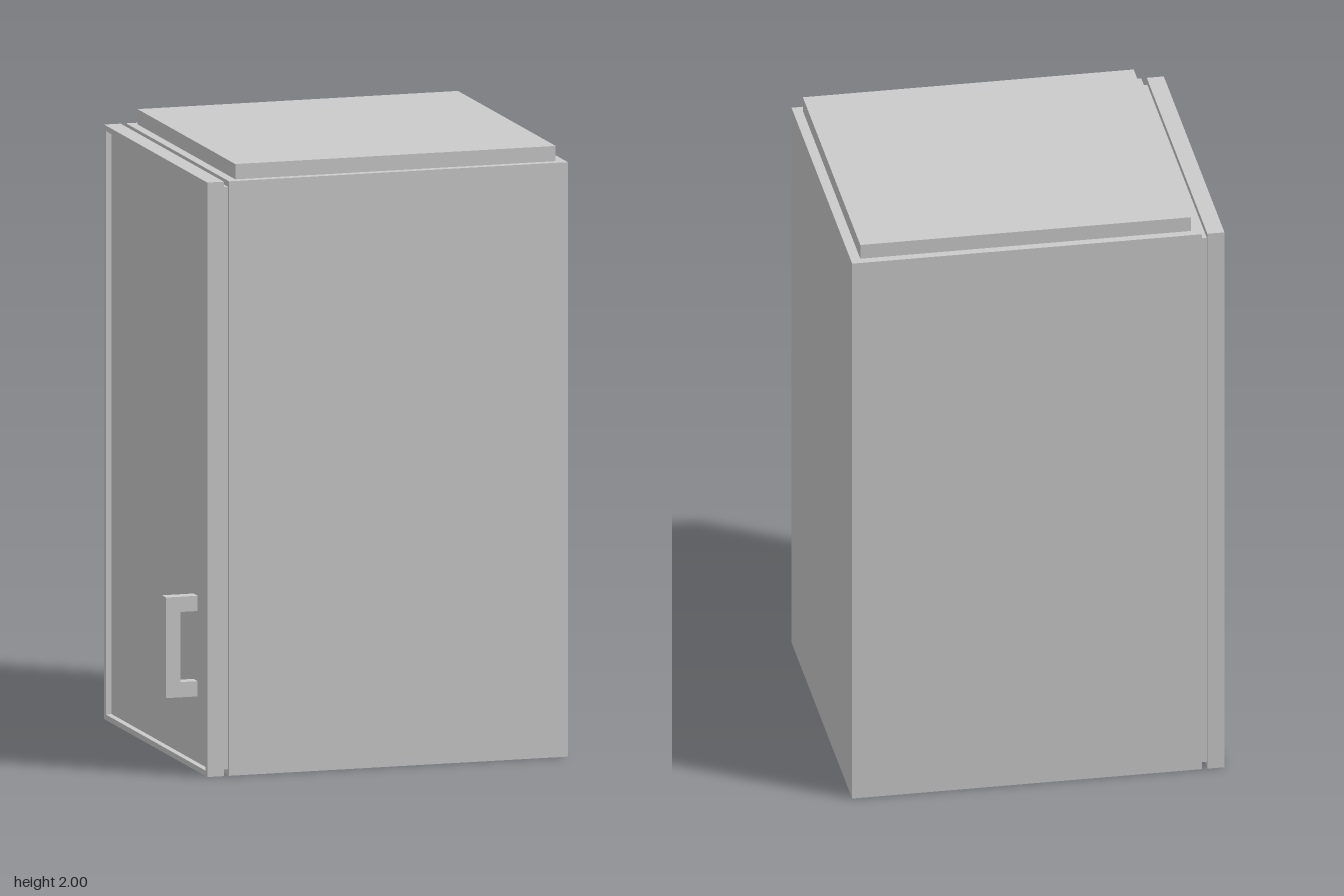
import * as THREE from 'three';

const material = new THREE.MeshStandardMaterial({ color: 0xcccccc, flatShading: true });

// Box given by its low and high limits on each axis
function box(name, [x0, x1], [y0, y1], [z0, z1]) {
  const mesh = new THREE.Mesh(new THREE.BoxGeometry(x1 - x0, y1 - y0, z1 - z0), material);
  mesh.position.set((x0 + x1) / 2, (y0 + y1) / 2, (z0 + z1) / 2);
  mesh.name = name;
  return mesh;
}

function rectangle(Type, w, y0, y1) {
  return new Type([[-w, y0], [w, y0], [w, y1], [-w, y1]].map(([x, y]) => new THREE.Vector2(x, y)));
}

// Door slab on the -x side: a thin raised rim around a recessed panel
function createDoor() {
  const door = new THREE.Group();
  door.name = 'door';
  const rim = 0.018, recess = 0.02, outer = -0.568, inner = -0.512;
  const shape = rectangle(THREE.Shape, 0.55, 0, 1.95);
  shape.holes.push(rectangle(THREE.Path, 0.55 - rim, rim, 1.95 - rim));
  const geometry = new THREE.ExtrudeGeometry(shape, { depth: inner - outer, bevelEnabled: false });
  geometry.rotateY(Math.PI / 2).translate(outer, 0, 0);
  const frame = new THREE.Mesh(geometry, material);
  frame.name = 'doorRim';
  door.add(frame, box('doorPanel', [outer + recess, inner], [rim, 1.95 - rim], [rim - 0.55, 0.55 - rim]));
  return door;
}

// Square-section pull handle
function createHandle() {
  const handle = new THREE.Group();
  handle.name = 'handle';
  const z = [0.341, 0.385];
  handle.add(box('handleGrip', [-0.655, -0.607], [0.235, 0.565], z));
  for (const y of [0.235, 0.515]) handle.add(box('handleArm', [-0.607, -0.548], [y, y + 0.05], z));
  return handle;
}

export function createModel() {
  const cabinet = new THREE.Group();
  cabinet.name = 'cabinet';
  cabinet.add(
    box('body', [-0.494, 0.653], [0, 1.95], [-0.55, 0.55]),
    box('topPlate', [-0.464, 0.621], [1.95, 2], [-0.521, 0.521]),
    box('doorSeal', [-0.512, -0.494], [0.02, 1.93], [-0.54, 0.54]),
    createDoor(),
    createHandle(),
  );
  return cabinet;
}
